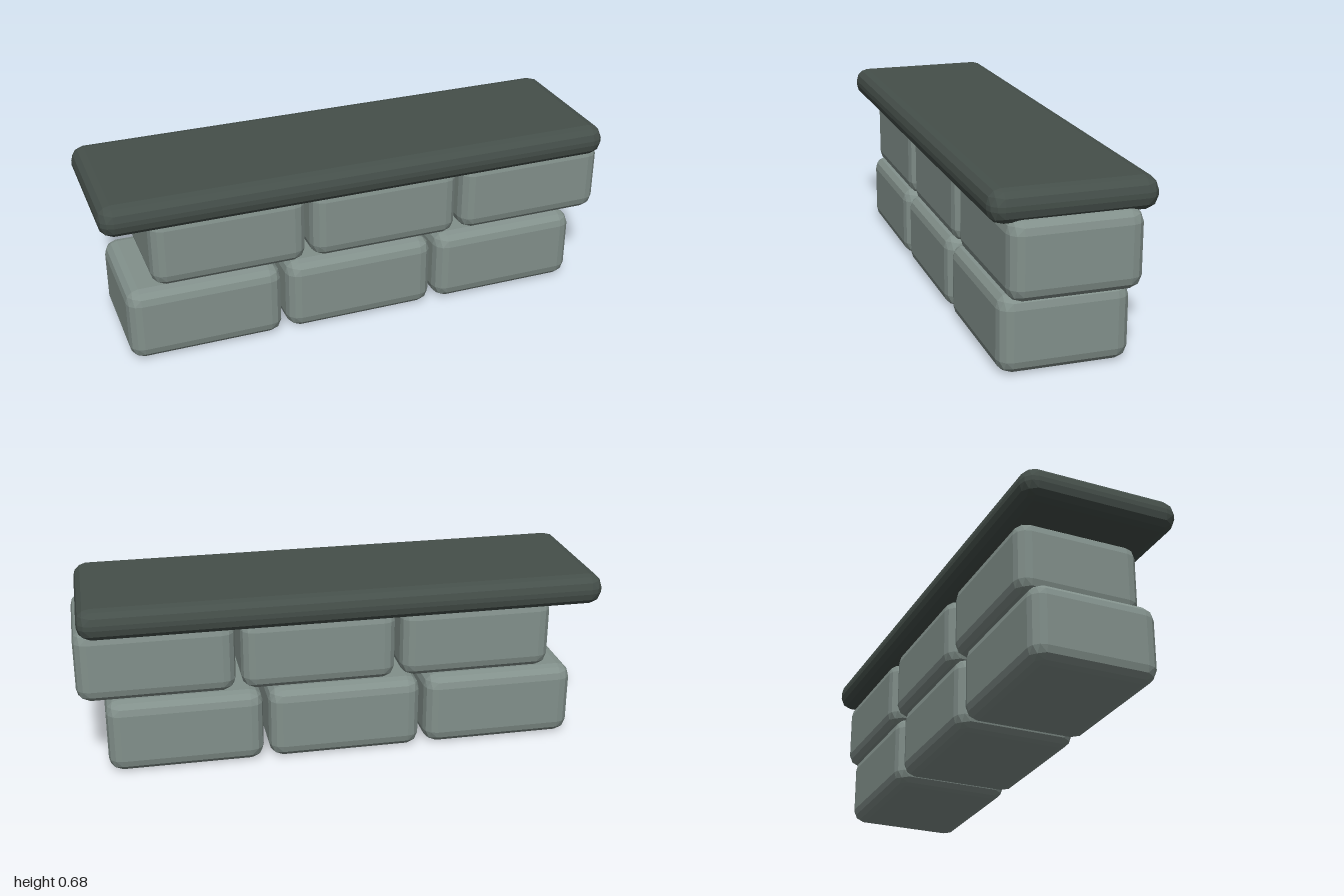
import * as THREE from 'three';
import { ConvexGeometry } from 'three/addons/geometries/ConvexGeometry.js';

// Box with every edge rounded in three flat facets, as the hull of eight faceted corners
function bevelledBox(w, h, d, r) {
  const points = [];
  const s = (n) => Math.sin((n * Math.PI) / 6);
  for (const sx of [-1, 1]) for (const sy of [-1, 1]) for (const sz of [-1, 1]) {
    for (let i = 0; i <= 3; i++) for (let j = 0; i + j <= 3; j++) {
      const p = new THREE.Vector3(s(i), s(j), s(3 - i - j)).normalize().multiplyScalar(r);
      p.add(new THREE.Vector3(w / 2 - r, h / 2 - r, d / 2 - r));
      points.push(p.multiply(new THREE.Vector3(sx, sy, sz)));
    }
  }
  return new ConvexGeometry(points);
}

export function createModel() {
  const group = new THREE.Group();
  const stone = new THREE.MeshStandardMaterial({ color: 0x82908b });
  stone.name = 'greyStone';
  const dark = new THREE.MeshStandardMaterial({ color: 0x454f4a });
  dark.name = 'darkStone';

  // Two staggered courses of three blocks
  const block = bevelledBox(0.592, 0.286, 0.476, 0.05);
  const courses = [
    { name: 'lowerBlock', x: -0.01, y: 0.143 },
    { name: 'upperBlock', x: 0.09, y: 0.439 },
  ];
  for (const { name, x, y } of courses) {
    for (let i = -1; i <= 1; i++) {
      const mesh = new THREE.Mesh(block, stone);
      mesh.name = name + (i + 2);
      mesh.position.set(x + i * 0.613, y, 0);
      group.add(mesh);
    }
  }

  // Overhanging capstone
  const cap = new THREE.Mesh(bevelledBox(1.98, 0.118, 0.594, 0.05), dark);
  cap.name = 'capstone';
  cap.position.set(-0.01, 0.62, 0);
  group.add(cap);

  return group;
}
